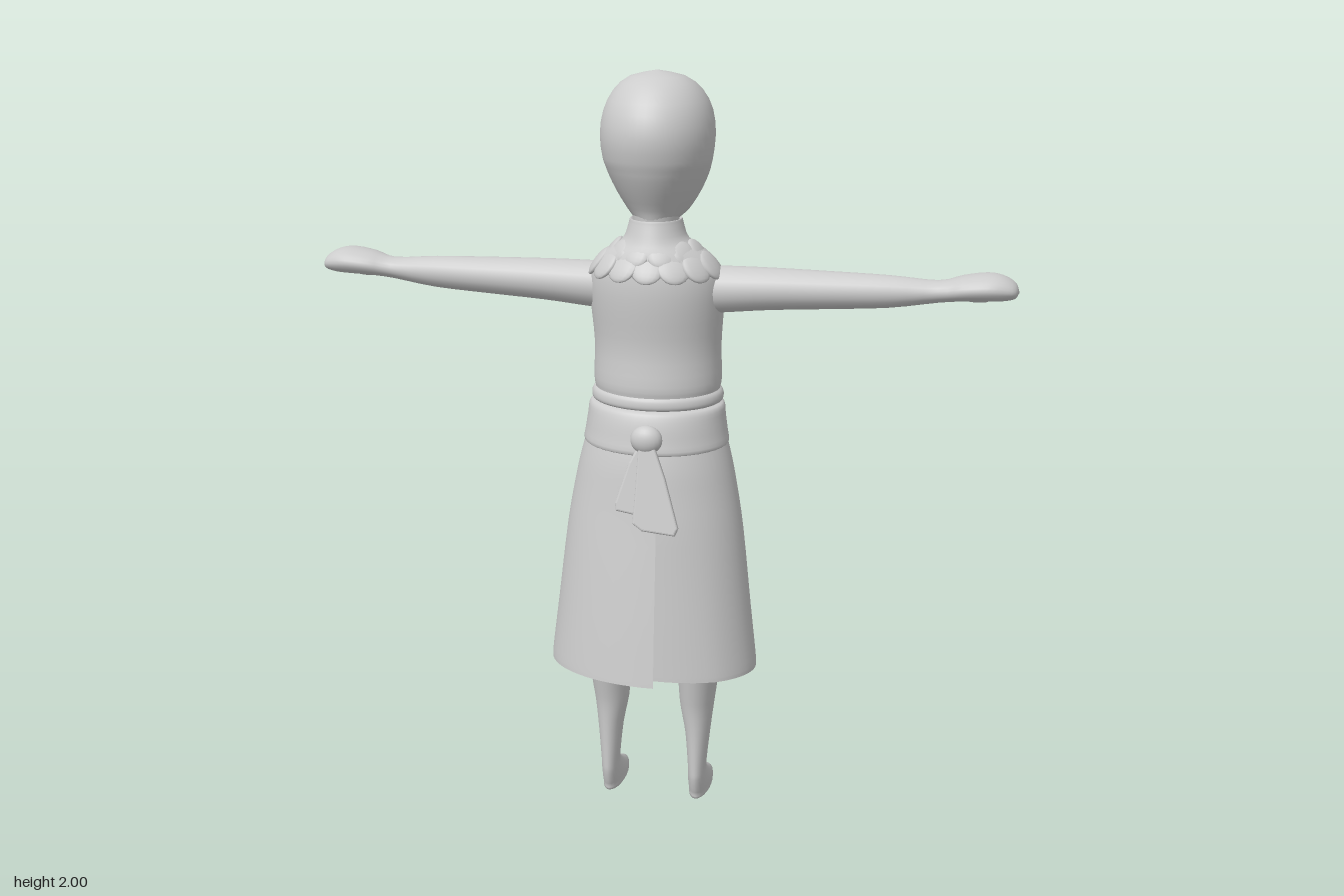
import * as THREE from 'three';

const grey = new THREE.MeshStandardMaterial({ color: 0xcccccc, side: THREE.DoubleSide });
grey.name = 'plainGrey';

// Smooth loft through rows of [y, half width, z min, z max, centre x].
// opts: seg, sub, start/sweep (open loft), bend(point, turn, angle), skip(row, column)
function loft(rows, opts = {}) {
  const { seg = 32, sub = 3, start = 0, sweep = 0, bend, skip } = opts;
  const a = new THREE.CatmullRomCurve3(rows.map((r) => new THREE.Vector3(r[0], r[1], r[4] || 0)), false, 'catmullrom');
  const b = new THREE.CatmullRomCurve3(rows.map((r) => new THREE.Vector3(r[2], r[3], 0)), false, 'catmullrom');
  const n = (rows.length - 1) * sub;
  const cols = sweep ? seg + 1 : seg;
  const pos = [], idx = [];
  for (let i = 0; i <= n; i++) {
    const p = a.getPoint(i / n), q = b.getPoint(i / n);
    for (let j = 0; j < cols; j++) {
      const t = start + (sweep || Math.PI * 2) * j / seg;
      const v = new THREE.Vector3(p.z + Math.sin(t) * Math.max(p.y, 0.0005), Math.max(p.x, 0),
        (q.x + q.y) / 2 + Math.cos(t) * (q.y - q.x) / 2);
      if (bend) bend(v, j / seg, t);
      pos.push(v.x, v.y, v.z);
    }
  }
  for (let i = 0; i < n; i++) {
    for (let j = 0; j < seg; j++) {
      if (skip && skip(i, j)) continue;
      const k = (j + 1) % cols, o = i * cols, u = o + cols;
      idx.push(o + j, o + k, u + j, o + k, u + k, u + j);
    }
  }
  const g = new THREE.BufferGeometry();
  g.setAttribute('position', new THREE.Float32BufferAttribute(pos, 3));
  g.setIndex(idx);
  g.computeVertexNormals();
  return g;
}

// Copy mirrored to the other side, with its faces kept outward
function mirrored(geo) {
  const g = geo.clone().scale(-1, 1, 1);
  g.setIndex(Array.from(geo.index.array).reverse());
  g.computeVertexNormals();
  return g;
}

export function createModel() {
  const model = new THREE.Group();
  const add = (name, geo) => {
    const m = new THREE.Mesh(geo, grey);
    m.name = name;
    model.add(m);
    return m;
  };
  const pair = (name, geo) => {
    add(name + 'Left', geo);
    add(name + 'Right', mirrored(geo));
  };

  // Head, facing -z, with two narrow open eye slits
  const eyeRow = 5 * 2;
  add('head', loft([
    [1.622, 0.045, -0.105, 0.04], [1.64, 0.068, -0.175, 0.045], [1.66, 0.085, -0.197, 0.052],
    [1.70, 0.109, -0.217, 0.075], [1.74, 0.127, -0.226, 0.095], [1.765, 0.135, -0.216, 0.104],
    [1.785, 0.14, -0.212, 0.111], [1.84, 0.146, -0.221, 0.12], [1.90, 0.138, -0.214, 0.106],
    [1.95, 0.113, -0.175, 0.07], [1.985, 0.07, -0.115, 0.025], [2.0, 0.002, -0.045, -0.04],
  ], {
    seg: 48, sub: 2,
    skip: (i, j) => i === eyeRow && ((j >= 26 && j <= 28) || (j >= 19 && j <= 21)),
  }));
  add('neck', loft([
    [1.50, 0.06, -0.10, 0.04], [1.58, 0.058, -0.098, 0.04], [1.65, 0.06, -0.10, 0.045],
  ]));

  // Sleeveless bodice, rising into a standing collar
  add('bodice', loft([
    [1.15, 0.162, -0.182, 0.08], [1.18, 0.166, -0.19, 0.085], [1.21, 0.17, -0.194, 0.088],
    [1.30, 0.168, -0.186, 0.08], [1.40, 0.175, -0.176, 0.088], [1.46, 0.177, -0.164, 0.09],
    [1.51, 0.168, -0.148, 0.085], [1.55, 0.13, -0.13, 0.075], [1.58, 0.085, -0.115, 0.062],
    [1.62, 0.07, -0.106, 0.048], [1.632, 0.066, -0.10, 0.044], [1.625, 0.056, -0.09, 0.035],
  ], { seg: 40 }));

  // Two overlapping rows of rounded collar petals
  const petal = new THREE.SphereGeometry(1, 14, 10);
  [[14, 0.15, 0.112, 1.518, 0.043, 0], [11, 0.112, 0.095, 1.55, 0.038, 0.5]].forEach(([n, rx, rz, y, r, shift]) => {
    for (let i = 0; i < n; i++) {
      const t = (i + shift) / n * Math.PI * 2;
      const front = Math.max(0, -Math.cos(t));
      const m = add('collarPetal', petal);
      m.position.set(rx * Math.sin(t), y - 0.028 * front, -0.032 + rz * Math.cos(t));
      m.rotation.set(-0.65, t, 0, 'YXZ');
      m.scale.set(r, r, 0.012);
    }
  });

  // Waist roll and sash
  add('waistRoll', loft([
    [1.145, 0.16, -0.18, 0.08], [1.15, 0.172, -0.19, 0.09], [1.16, 0.176, -0.194, 0.093],
    [1.175, 0.173, -0.193, 0.09], [1.185, 0.162, -0.183, 0.08],
  ], { seg: 40 }));
  add('sash', loft([
    [1.035, 0.18, -0.18, 0.11], [1.04, 0.194, -0.195, 0.125], [1.07, 0.19, -0.193, 0.12],
    [1.11, 0.184, -0.19, 0.112], [1.14, 0.18, -0.188, 0.1], [1.148, 0.165, -0.18, 0.085],
  ], { seg: 40 }));

  // Wrapped skirt: the edge on the -x side overlaps the other at the back
  add('skirt', loft([
    [0.43, 0.283, -0.21, 0.203], [0.46, 0.281, -0.209, 0.2], [0.60, 0.263, -0.205, 0.185],
    [0.80, 0.239, -0.2, 0.16], [0.92, 0.219, -0.197, 0.142], [1.0, 0.202, -0.194, 0.13],
    [1.08, 0.18, -0.186, 0.11],
  ], {
    seg: 56, start: 0.1, sweep: Math.PI * 2 + 0.06,
    bend: (v, turn, t) => {
      const low = THREE.MathUtils.clamp((0.85 - v.y) / 0.42, 0, 1);
      v.z += low * (0.026 * Math.max(0, turn * 4 - 3) - 0.02 * Math.max(0, 1 - turn * 9));
      v.y -= low * low * 0.018 * (1 - Math.cos(t));
    },
  }));

  // Bow at the back: knot and two hanging tails
  const knot = add('bowKnot', new THREE.SphereGeometry(1, 20, 14));
  knot.position.set(0.008, 1.085, 0.132);
  knot.scale.set(0.042, 0.038, 0.028);
  const tail = (name, pts, z) => {
    const shape = new THREE.Shape(pts.map((p) => new THREE.Vector2(p[0], p[1] - 1.08)));
    const g = new THREE.ExtrudeGeometry(shape, {
      depth: 0.006, bevelEnabled: true, bevelSize: 0.006, bevelThickness: 0.006, bevelSegments: 3,
    });
    const m = add(name, g);
    m.position.set(0, 1.08, z);
    m.rotation.x = -0.2;
  };
  tail('bowTailShort', [[-0.005, 1.07], [-0.03, 1.02], [-0.062, 0.915], [-0.06, 0.9], [-0.01, 0.892], [0.01, 1.07]], 0.126);
  tail('bowTailLong', [[-0.005, 1.07], [-0.008, 0.96], [-0.012, 0.87], [0.01, 0.855], [0.09, 0.848], [0.096, 0.862],
    [0.058, 0.985], [0.025, 1.07]], 0.136);

  // Outstretched arms with mitten hands, lofted upright and laid along x
  const arm = loft([
    [0.13, 0.062, -0.10, 0.02, -1.448], [0.2, 0.059, -0.10, 0.022, -1.452], [0.3, 0.054, -0.096, 0.02, -1.457],
    [0.45, 0.048, -0.092, 0.012, -1.46], [0.6, 0.041, -0.085, 0.002, -1.463], [0.72, 0.028, -0.088, -0.01, -1.467],
    [0.78, 0.032, -0.112, 0.005, -1.477], [0.84, 0.035, -0.127, 0.01, -1.482], [0.88, 0.031, -0.122, 0.0, -1.48],
    [0.91, 0.019, -0.107, -0.022, -1.474], [0.92, 0.001, -0.066, -0.064, -1.47],
  ], { seg: 24 });
  arm.rotateZ(-Math.PI / 2);
  pair('arm', arm);
  const thumb = new THREE.SphereGeometry(1, 16, 10);
  thumb.scale(0.05, 0.014, 0.018);
  thumb.rotateZ(-0.15);
  thumb.rotateY(0.25);
  thumb.translate(0.805, 1.447, -0.098);
  pair('thumb', thumb);

  // Legs running into small pointed feet
  pair('leg', loft([
    [0, 0.001, -0.071, -0.069, 0.124], [0, 0.027, -0.15, 0.02, 0.124], [0.018, 0.03, -0.16, 0.03, 0.124],
    [0.04, 0.029, -0.122, 0.038, 0.124], [0.07, 0.026, -0.07, 0.045, 0.124], [0.1, 0.025, -0.045, 0.046, 0.124],
    [0.2, 0.034, -0.06, 0.047, 0.124], [0.28, 0.046, -0.074, 0.052, 0.121], [0.35, 0.053, -0.082, 0.065, 0.123],
    [0.45, 0.059, -0.09, 0.08, 0.125], [0.7, 0.062, -0.1, 0.08, 0.115],
  ], { seg: 24 }));

  return model;
}
